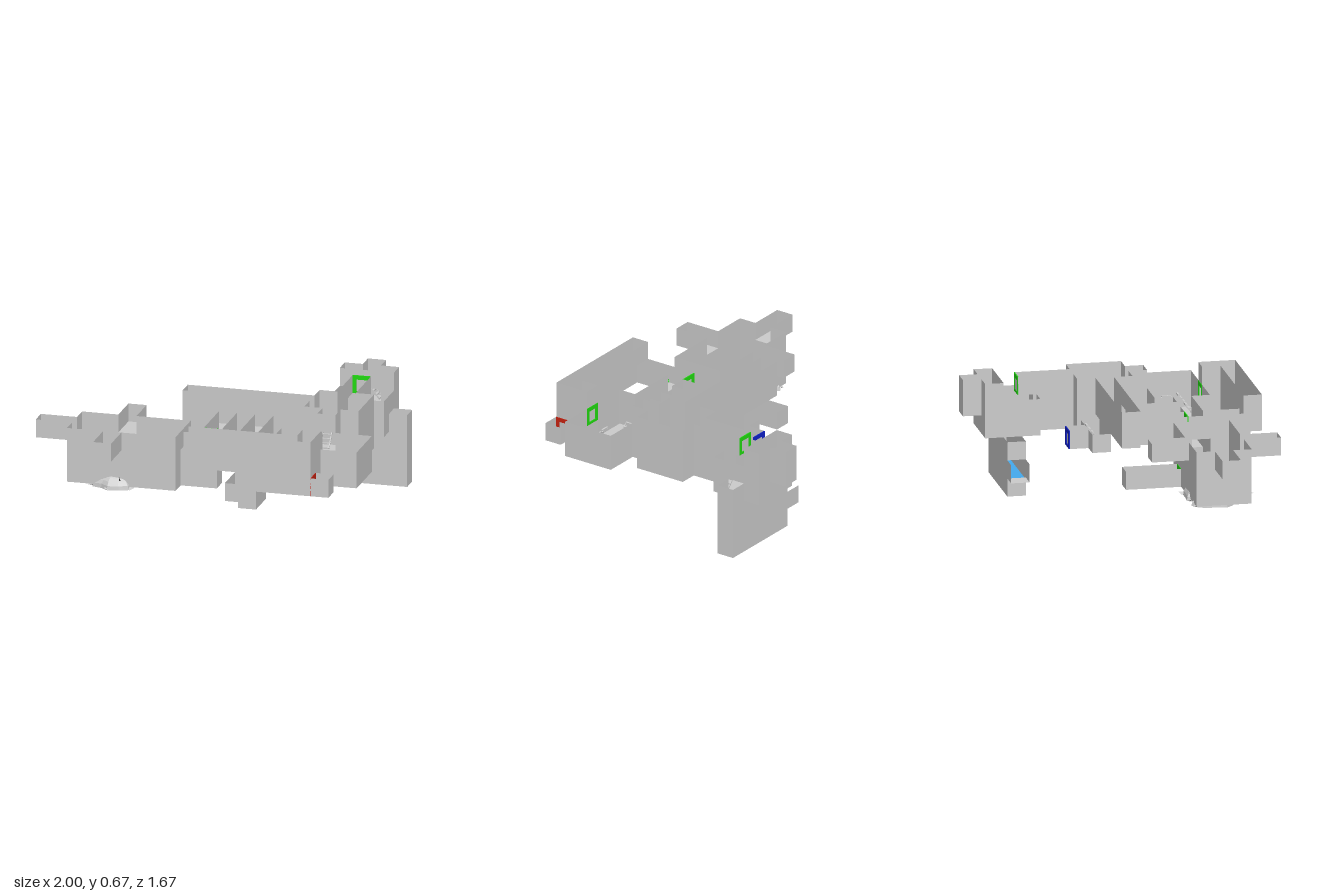
import * as THREE from 'three';
import { mergeGeometries } from 'three/addons/utils/BufferGeometryUtils.js';

const C = 1 / 9; // grid cell
const X = i => -1 + i * C, Z = j => (j - 7.5) * C, Y = k => k * C;
const mat = color => new THREE.MeshStandardMaterial({ color, side: THREE.DoubleSide, flatShading: true });
const GREY = 0xcccccc, GREEN = 0x22dd11, BLUE = 0x1122cc, RED = 0xcc2211, WATER = 0x44aaee;

// Lays out rooms on the cell grid; each cell belongs to the first room that claims it
function createPlan() {
  const owner = new Map();
  const key = (i, j, k) => `${i},${j},${k}`;
  const rooms = [];
  const room = (name, i0, i1, j0, j1, low, top) => {
    const cells = [];
    for (let i = i0; i <= i1; i++) for (let j = j0; j <= j1; j++) for (let k = low; k <= top; k++) {
      if (owner.has(key(i, j, k))) continue;
      owner.set(key(i, j, k), name);
      cells.push([i, j, k]);
    }
    rooms.push({ name, cells });
  };
  const filled = (i, j, k) => owner.has(key(i, j, k));
  return {
    rooms, room, filled,
    alongX: (name, i0, i1, j, low, top) => room(name, i0, i1, j, j, low, top),
    alongZ: (name, i, j0, j1, low, top) => room(name, i, i, j0, j1, low, top),
    // Lowest open level of a column
    floorOf: (i, j) => { let k = 0; while (k < 5 && !filled(i, j, k)) k++; return k; },
  };
}

// West hall with its crossing arms
function planWest({ room, alongX, alongZ }) {
  room('westHall', 2, 7, 10, 12, 2, 4);
  alongX('westPassage', 0, 1, 11, 4, 4);
  for (const j of [8, 13]) alongZ('westArm', 4, j, j + 1, 4, 4);
  alongZ('blueKeyPassage', 6, 7, 9, 2, 2);
}

// Passages joining west and east
function planMiddle({ alongX, alongZ }) {
  alongX('lowBridge', 8, 9, 11, 2, 3);
  alongX('middlePassage', 10, 12, 11, 3, 4);
  alongX('upperPassage', 7, 13, 7, 4, 5);
  alongZ('crossPassage', 9, 8, 13, 4, 4);
  alongX('sideRoom', 10, 12, 6, 3, 3);
  alongZ('sideDoorway', 11, 5, 5, 3, 3);
  alongZ('exitPassage', 11, 8, 10, 3, 4);
  alongZ('lowPassage', 11, 12, 13, 2, 2);
  alongZ('lowPassageEnd', 12, 13, 13, 2, 2);
  alongX('frontGallery', 9, 11, 14, 4, 5);
  alongZ('frontShaft', 12, 14, 14, 2, 5);
  alongX('frontHall', 13, 15, 14, 3, 5);
  alongX('frontEnd', 16, 16, 14, 3, 3);
}

// East halls strung along one axis, then the sunken tank
function planEast({ room, alongX, alongZ }) {
  const axis = 15;
  room('eastHall', axis - 2, axis + 2, 10, 12, 3, 4);
  room('tallHall', axis - 1, axis + 1, 6, 8, 3, 5);
  alongX('backHall', axis - 1, axis + 1, 3, 3, 4);
  alongX('rearHall', axis - 1, axis + 1, 1, 3, 5);
  for (const j of [4, 5, 9, 13]) alongZ('eastLink', axis, j, j, 3, 5);
  alongZ('backBridge', axis, 3, 3, 5, 5);
  alongZ('rearNook', axis, 0, 0, 4, 5);
  alongX('tankWest', axis - 2, axis - 2, 2, 0, 2);
  alongX('tank', axis - 1, axis + 1, 2, 0, 4);
  alongX('tankEast', axis + 2, axis + 2, 2, 0, 3);
  alongX('drain', axis - 3, axis - 3, 2, 1, 1);
}

// Open-topped room: a floor or wall wherever the neighbouring cell is empty
function roomGeometry({ name, cells }, filled) {
  const faces = [];
  for (const [i, j, k] of cells) {
    const place = g => faces.push(g.translate(X(i + 0.5), Y(k + 0.5), Z(j + 0.5)));
    const panel = () => new THREE.PlaneGeometry(C, C).translate(0, 0, C / 2);
    if (!filled(i, j, k - 1)) place(panel().rotateX(Math.PI / 2));
    for (let q = 0; q < 4; q++) {
      const a = q * Math.PI / 2;
      const dx = Math.round(Math.sin(a)), dz = Math.round(Math.cos(a));
      const openEnd = name === 'drain' && dx < 0;
      if (!filled(i + dx, j + dz, k) && !openEnd) place(panel().rotateY(a));
    }
  }
  return mergeGeometries(faces);
}

// Sloping ladder with rungs and two rails
function ladderGeometry() {
  const parts = [], L = 0.08, W = 0.055, H = 0.09;
  for (let n = 0; n < 5; n++) {
    const t = n / 4;
    parts.push(new THREE.BoxGeometry(W, 0.008, 0.012).translate(0, t * H + 0.006, (0.5 - t) * (L - 0.012)));
  }
  for (const s of [-1, 1]) {
    parts.push(new THREE.BoxGeometry(0.006, 0.008, Math.hypot(L, H) - 0.01)
      .rotateX(Math.atan2(H, L)).translate(s * W / 2, H / 2 + 0.004, 0));
  }
  return mergeGeometries(parts);
}

// Door frame standing in a cell opening
function doorFrame() {
  const s = new THREE.Shape(), h = C / 2, w = 0.034;
  s.moveTo(-h, 0).lineTo(h, 0).lineTo(h, C).lineTo(-h, C).closePath();
  const hole = new THREE.Path();
  hole.moveTo(-w, 0.015).lineTo(-w, 0.085).lineTo(w, 0.085).lineTo(w, 0.015).closePath();
  s.holes.push(hole);
  return new THREE.ExtrudeGeometry(s, { depth: 0.006, bevelEnabled: false }).translate(0, 0, -0.003);
}

// Faceted, uneven rock shell
function rockGeometry(rx, rz, h, seed) {
  const g = new THREE.SphereGeometry(1, 13, 5, 0, Math.PI * 2, 0, Math.PI / 2);
  const p = g.attributes.position;
  for (let n = 0; n < p.count; n++) {
    const a = Math.atan2(p.getZ(n), p.getX(n));
    const r = 1 + 0.1 * Math.sin(3 * a + seed) + 0.08 * Math.sin(7 * a + seed * 2);
    const y = p.getY(n) * (1 + 0.12 * Math.sin(5 * a + seed) * (1 - p.getY(n)));
    p.setXYZ(n, p.getX(n) * rx * r, y * h, p.getZ(n) * rz * r);
  }
  g.computeVertexNormals();
  return g;
}

export function createModel() {
  const model = new THREE.Group();
  const add = (name, geo, x = 0, y = 0, z = 0, color = GREY, turn = 0) => {
    const m = new THREE.Mesh(geo, mat(color));
    m.name = name;
    m.position.set(x, y, z);
    m.rotation.y = turn;
    model.add(m);
  };

  // Rooms and passages
  const plan = createPlan();
  for (const layOut of [planWest, planMiddle, planEast]) layOut(plan);
  for (const r of plan.rooms) add(r.name, roomGeometry(r, plan.filled));

  // Water in the tank
  add('water', new THREE.PlaneGeometry(5 * C, C).rotateX(-Math.PI / 2), X(15.5), 0.1, Z(2.5), WATER);

  // Ladders on the room floors, running along x or along z
  const ladder = (i, j, turn) =>
    add('ladder', ladderGeometry(), X(i + 0.5), Y(plan.floorOf(i, j)), Z(j + 0.5), GREY, turn);
  for (const i of [14, 16]) for (const j of [3, 8]) ladder(i, j, Math.PI / 2);
  for (const j of [1, 7, 10]) ladder(16, j, Math.PI / 2);
  for (const j of [10, 11]) ladder(17, j, Math.PI / 2);
  for (const [i, j] of [[15, 0], [7, 7], [14, 11]]) ladder(i, j, Math.PI / 2);
  for (const [i, j] of [[15, 4], [12, 6], [14, 6], [15, 12], [17, 12]]) ladder(i, j, 0);

  // Steps in the west hall
  for (let n = 0; n < 4; n++) {
    const h = 0.02 * (n + 1);
    add('step', new THREE.BoxGeometry(0.018, h, C), X(7) + 0.02 + n * 0.022, Y(2) + h / 2, Z(11.5));
  }

  // Coloured door frames
  const door = (name, i, k, j, color, turn) => add(name, doorFrame(), X(i), Y(k), Z(j), color, turn);
  door('greenDoor', 15.5, 5, 3, GREEN);
  door('greenDoor', 9.5, 4, 11, GREEN);
  door('greenDoor', 15.5, 4, 13, GREEN);
  door('greenDoor', 6.5, 2, 10, GREEN);
  door('blueDoor', 11.5, 3, 4.96, BLUE);
  door('redDoor', 16, 3, 14.5, RED, Math.PI / 2);

  // Green exit floors with a small raised marker
  for (const [i, j] of [[11, 10], [13, 14]]) {
    const x = X(i + 0.5), y = Y(plan.floorOf(i, j)), z = Z(j + 0.5);
    add('exitFloor', new THREE.BoxGeometry(C, 0.004, C), x, y + 0.004, z, GREEN);
    for (const [turn, dz] of [[0.5, -0.012], [-0.6, 0.012], [1.4, 0.008]]) {
      add('exitMarker', new THREE.BoxGeometry(0.006, 0.004, 0.035), x, y + 0.008, z + dz, GREY, turn);
    }
  }

  // Keys
  const key = (name, x, y, z, color) => add(name, new THREE.OctahedronGeometry(0.018), x, y, z, color);
  key('blueKey', -0.28, 0.26, 0, BLUE);
  key('greenKey', 0.05, 0.48, 0.55, GREEN);
  key('redKey', 0.83, 0.37, 0.78, RED);

  // Rocks breaking through the west hall floor
  const rock = (x, z, rx, rz, seed) => {
    const h = 0.08;
    add('rock', rockGeometry(rx, rz, h, seed), x, 0.207, z);
    for (let n = 0; n < 5; n++) {
      // Dark shards on top
      const a = seed + n * 2.4, r = 0.3 + 0.1 * n;
      add('shard', new THREE.ConeGeometry(0.008, 0.03, 4), x + Math.cos(a) * rx * r,
        0.21 + h * Math.sqrt(1 - r * r), z + Math.sin(a) * rz * r, 0x222222, a);
      // Ragged fragments around the rim
      const b = seed * 1.7 + n * 1.26;
      add('rockFragment', new THREE.TetrahedronGeometry(0.03).scale(1, 0.4, 1),
        Math.max(x + Math.cos(b) * rx, -0.75), 0.215, z + Math.sin(b) * rz, GREY, b);
    }
  };
  rock(-0.69, 0.4, 0.09, 0.125, 1);
  rock(-0.5, 0.34, 0.14, 0.085, 2.3);
  rock(-0.5, 0.57, 0.135, 0.085, 4);

  return model;
}
